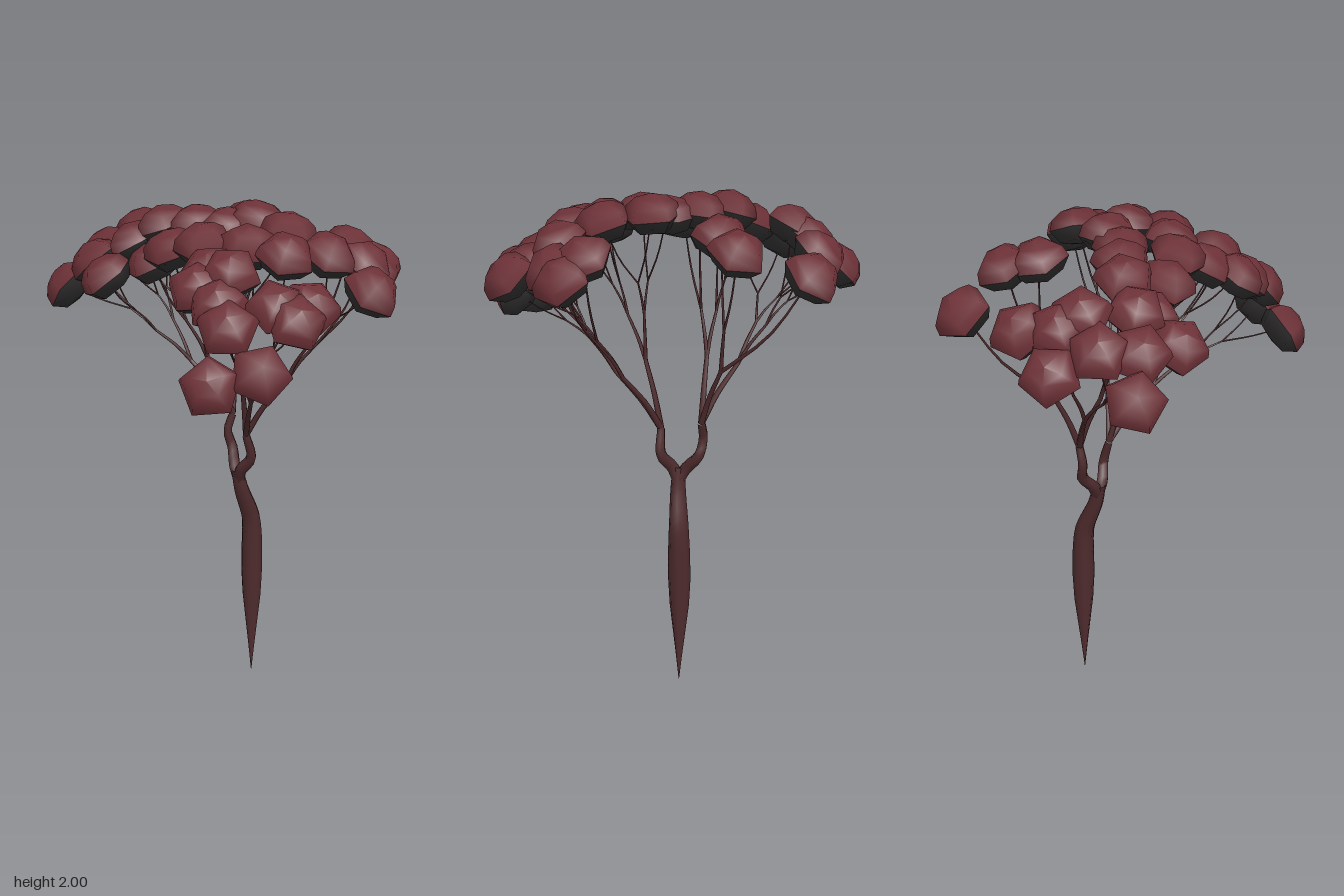
import * as THREE from 'three';

const bark = new THREE.MeshStandardMaterial({ color: 0x4e2b2d });
const leaf = new THREE.MeshStandardMaterial({ color: 0x6c3137 });
const shade = new THREE.MeshStandardMaterial({ color: 0x333132 });
const V = (x, y, z) => new THREE.Vector3(x, y, z);

// Smooth tube through points whose radius follows a list of radii
function limb(name, points, radii, steps, sides) {
  const curve = new THREE.CatmullRomCurve3(points, false, 'centripetal');
  const geo = new THREE.TubeGeometry(curve, steps, 1, sides, false);
  const pos = geo.attributes.position;
  const v = new THREE.Vector3();
  for (let i = 0; i <= steps; i++) {
    const centre = curve.getPointAt(i / steps);
    const f = (i / steps) * (radii.length - 1);
    const k = Math.min(Math.floor(f), radii.length - 2);
    const r = THREE.MathUtils.lerp(radii[k], radii[k + 1], f - k);
    for (let j = 0; j <= sides; j++) {
      const n = i * (sides + 1) + j;
      v.fromBufferAttribute(pos, n).sub(centre).multiplyScalar(r).add(centre);
      pos.setXYZ(n, v.x, v.y, v.z);
    }
  }
  const mesh = new THREE.Mesh(geo, bark);
  mesh.name = name;
  return mesh;
}

// Point between a and b, with separate sideways and upward fractions
function between(a, b, across, rise) {
  const p = a.clone().lerp(b, across);
  p.y = THREE.MathUtils.lerp(a.y, b.y, rise);
  return p;
}

// Five-sided leaf clump: a domed top and a flatter, darker underside
const lathe = (profile) => new THREE.LatheGeometry(profile.map(([r, y]) => new THREE.Vector2(r, y)), 5);
const domeGeo = lathe([[0.112, -0.012], [0.098, 0.03], [0.06, 0.06], [0, 0.075]]);
const undersideGeo = lathe([[0, -0.07], [0.075, -0.06], [0.112, -0.012]]);
// Lathe faces point outward only when the profile runs upward from the base
domeGeo.name = 'dome';
undersideGeo.name = 'underside';

const heart = V(0.05, 1.05, -0.04);
function leafClump(tip) {
  const clump = new THREE.Group();
  clump.name = 'leafClump';
  [[domeGeo, leaf], [undersideGeo, shade]].forEach(([geo, material]) => {
    const part = new THREE.Mesh(geo, material);
    part.name = geo.name;
    clump.add(part);
  });
  clump.position.copy(tip);
  clump.quaternion.setFromUnitVectors(V(0, 1, 0), tip.clone().sub(heart).normalize());
  clump.rotateY(tip.x * 23 + tip.z * 17);
  return clump;
}

// Leaf clump centres carried by each bough, neighbours side by side
const frontBoughs = [
  [[-0.36, 1.48, 0.57], [-0.2, 1.52, 0.63], [-0.27, 1.66, 0.52], [-0.26, 1.72, 0.42],
    [-0.08, 1.71, 0.51], [-0.04, 1.67, 0.58], [0.05, 1.7, 0.52], [0.04, 1.85, 0.35]],
  [[0.21, 1.84, 0.35], [0.3, 1.73, 0.51], [0.38, 1.83, 0.22], [0.38, 1.79, 0.33], [0.46, 1.77, 0.28]],
  [[-0.29, 1.76, 0.32], [-0.18, 1.81, 0.36], [-0.21, 1.8, 0.25], [-0.05, 1.87, 0.23],
    [-0.17, 1.87, 0.11], [-0.01, 1.9, -0.01], [0.08, 1.925, 0.03], [0.13, 1.9, 0.2]],
];
const backBoughs = [
  [[-0.42, 1.71, -0.23], [-0.39, 1.74, -0.41], [-0.46, 1.63, -0.53], [-0.3, 1.76, -0.52],
    [-0.19, 1.69, -0.64], [-0.14, 1.8, -0.53], [-0.18, 1.84, -0.46], [-0.01, 1.78, -0.58]],
  [[0.19, 1.88, -0.24], [0.29, 1.85, -0.31], [0.26, 1.77, -0.57]],
  [[-0.28, 1.82, -0.29], [-0.18, 1.89, -0.22], [-0.25, 1.76, -0.17], [-0.23, 1.83, -0.04], [-0.09, 1.9, -0.12]],
];

// Grow a stem toward its share of clumps, then split that share in two
function grow(group, root, tips, radius) {
  if (tips.length === 1) {
    const [tip] = tips;
    group.add(limb('twig', [root, between(root, tip, 0.55, 0.42), tip], [radius, 0.0025], 6, 5));
    group.add(leafClump(tip));
    return;
  }
  const mean = tips.reduce((sum, t) => sum.add(t), V(0, 0, 0)).divideScalar(tips.length);
  const fork = between(root, mean, 0.37, 0.33);
  const thinner = Math.max(radius * 0.64, 0.0035);
  group.add(limb('stem', [root, between(root, fork, 0.42, 0.5), fork], [radius, thinner], 6, 6));
  const half = Math.ceil(tips.length / 2);
  grow(group, fork, tips.slice(0, half), thinner);
  grow(group, fork, tips.slice(half), thinner);
}

function bough(root, spots) {
  const group = new THREE.Group();
  group.name = 'bough';
  grow(group, root, spots.map((p) => V(...p)), 0.013);
  return group;
}

export function createModel() {
  const model = new THREE.Group();
  model.name = 'tree';

  // Trunk: long pointed foot, swollen middle, narrowing to the fork
  model.add(limb('trunk',
    [V(0.13, 0, -0.085), V(0.13, 0.45, -0.085), V(0.128, 0.66, -0.082), V(0.12, 0.71, -0.08),
      V(0.075, 0.83, -0.07), V(0.055, 0.92, -0.07)],
    [0.001, 0.013, 0.026, 0.039, 0.045, 0.044, 0.039, 0.032, 0.025], 32, 8));

  // Two main limbs
  const split = V(0.065, 0.87, -0.07);
  const frontRoot = V(0.06, 1.08, 0);
  const backRoot = V(0.08, 1.12, -0.16);
  const taper = [0.026, 0.022, 0.016];
  model.add(limb('frontLimb', [split, V(0.06, 0.92, -0.045), V(0.085, 0.98, -0.005), frontRoot], taper, 10, 6));
  model.add(limb('backLimb',
    [split, V(0.06, 0.92, -0.1), V(0.075, 0.98, -0.15), V(0.06, 1.05, -0.165), backRoot], taper, 10, 6));

  // Boughs with their share of the crown
  frontBoughs.forEach((spots) => model.add(bough(frontRoot, spots)));
  backBoughs.forEach((spots) => model.add(bough(backRoot, spots)));
  return model;
}
